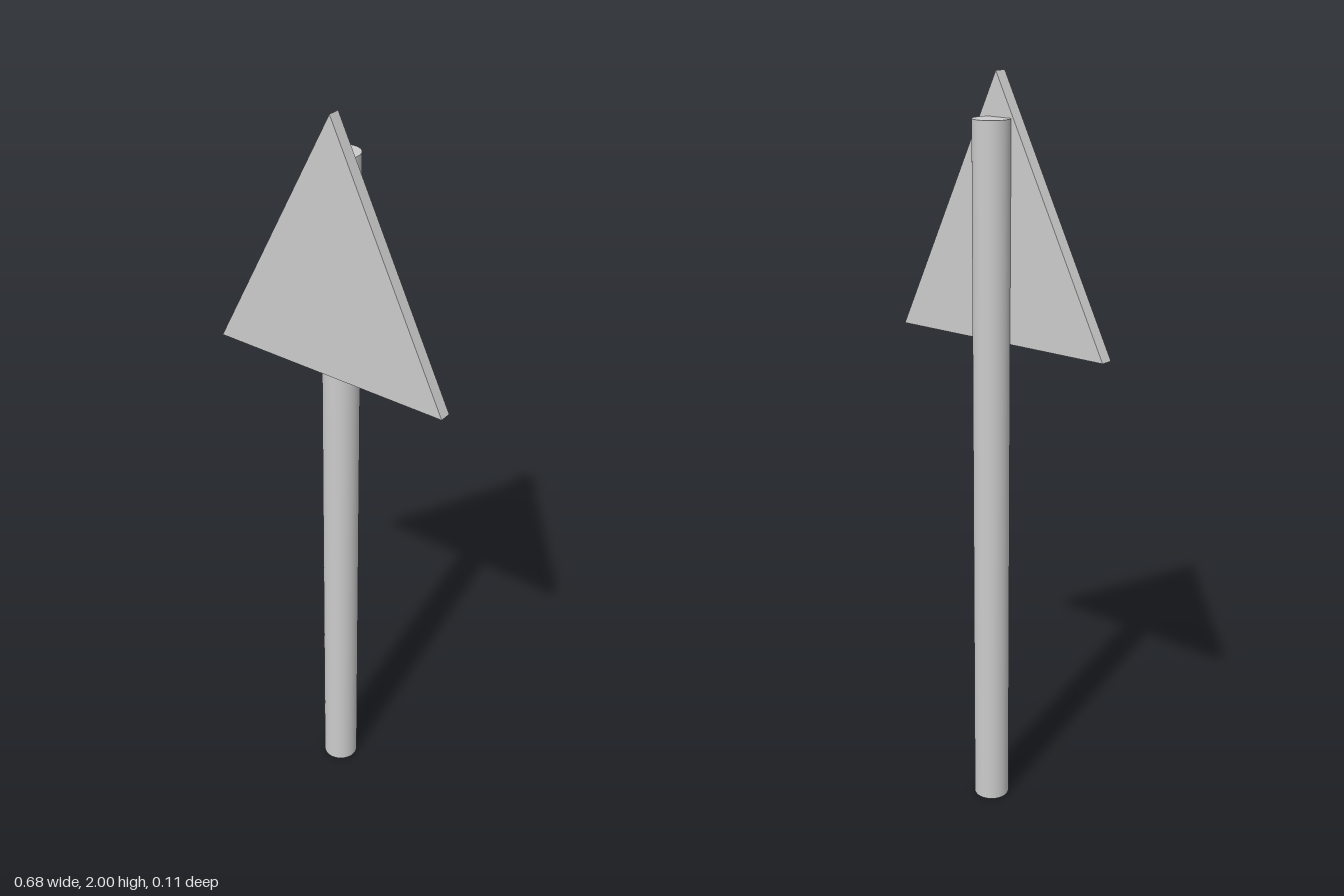
import * as THREE from 'three';

export function createModel() {
  const group = new THREE.Group();
  const material = new THREE.MeshStandardMaterial({ color: 0xcccccc });

  // Round post
  const height = 1.89;
  const post = new THREE.Mesh(new THREE.CylinderGeometry(0.048, 0.048, height, 48), material);
  post.name = 'post';
  post.position.set(0, height / 2, -0.01);
  group.add(post);

  // Triangular sign plate, slightly skewed and leaning forward at the top
  const baseY = 1.325;
  const outline = new THREE.Shape([
    new THREE.Vector2(-0.339, 1.332 - baseY),
    new THREE.Vector2(0.339, 1.317 - baseY),
    new THREE.Vector2(0.014, 2 - baseY),
  ]);
  const plate = new THREE.Mesh(
    new THREE.ExtrudeGeometry(outline, { depth: 0.033, bevelEnabled: false }),
    material
  );
  plate.name = 'signPlate';
  plate.position.set(0, baseY, 0.0155);
  plate.rotation.x = 0.009;
  group.add(plate);

  return group;
}
